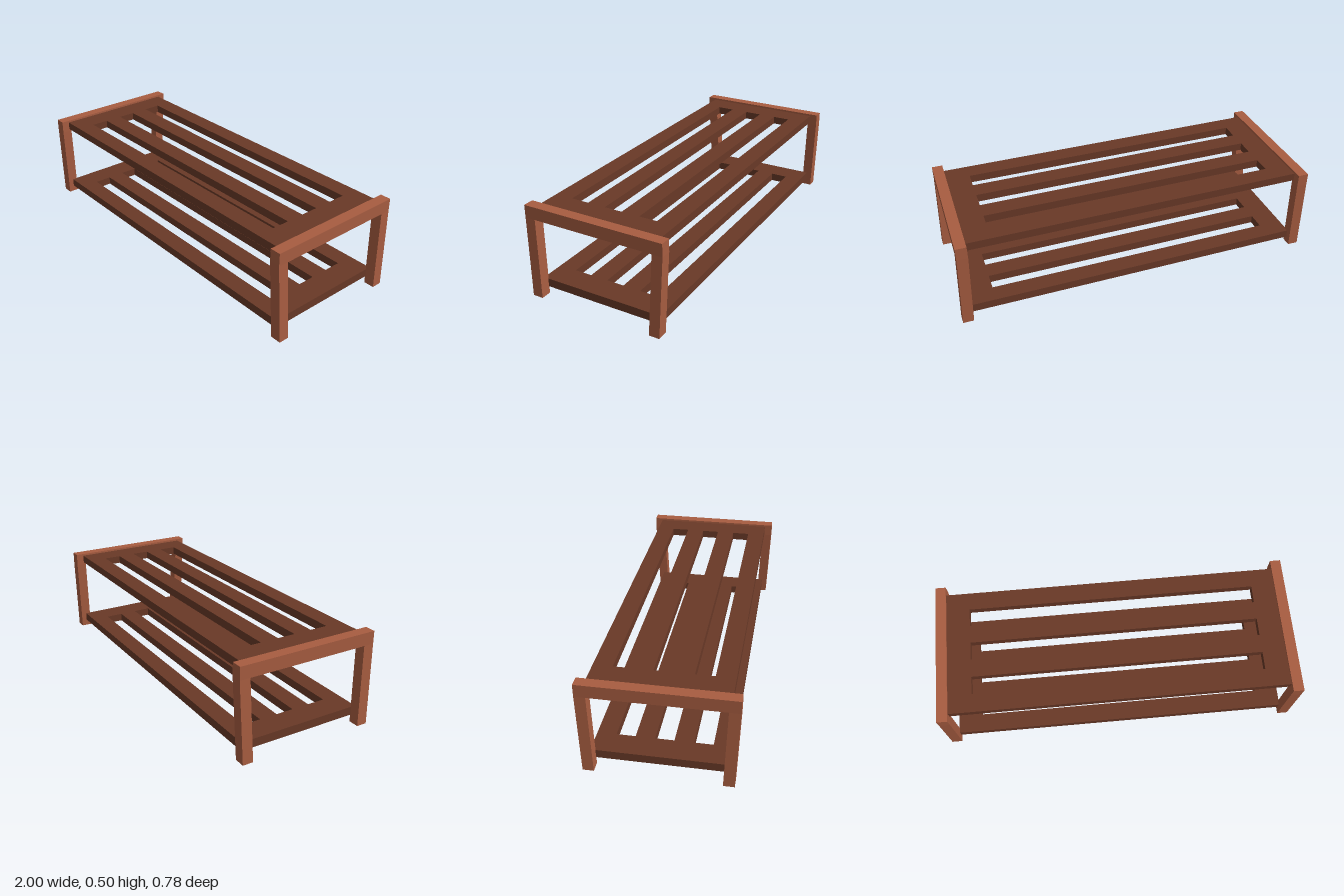
import * as THREE from 'three';

const lightWood = new THREE.MeshStandardMaterial({ color: 0xa85d41, flatShading: true });
const darkWood = new THREE.MeshStandardMaterial({ color: 0x693927, flatShading: true });

// Slatted shelf: a rectangular board with three long slots
function makeShelf(name, halfX, slotHalfX, y, thickness) {
  const halfZ = 0.346;
  const shape = new THREE.Shape([
    new THREE.Vector2(-halfX, -halfZ), new THREE.Vector2(halfX, -halfZ),
    new THREE.Vector2(halfX, halfZ), new THREE.Vector2(-halfX, halfZ),
  ]);
  for (const z of [-0.198, 0, 0.198]) {
    const a = z - 0.049, b = z + 0.049;
    shape.holes.push(new THREE.Path([
      new THREE.Vector2(-slotHalfX, a), new THREE.Vector2(-slotHalfX, b),
      new THREE.Vector2(slotHalfX, b), new THREE.Vector2(slotHalfX, a),
    ]));
  }
  const geo = new THREE.ExtrudeGeometry(shape, { depth: thickness, bevelEnabled: false });
  geo.rotateX(-Math.PI / 2);
  geo.translate(0, y, 0);
  const mesh = new THREE.Mesh(geo, darkWood);
  mesh.name = name;
  return mesh;
}

// Slanted leg: a box sheared so its foot moves out in x and in towards z = 0
function makeLeg(name, sx, sz) {
  const height = 0.433;
  const geo = new THREE.BoxGeometry(0.058, height, 0.057);
  geo.translate(0, height / 2, 0);
  const pos = geo.attributes.position;
  for (let i = 0; i < pos.count; i++) {
    const t = pos.getY(i) / height;
    pos.setX(i, pos.getX(i) + sx * (0.971 - 0.019 * t));
    pos.setZ(i, pos.getZ(i) + sz * (0.3465 + 0.015 * t));
  }
  geo.computeVertexNormals();
  const mesh = new THREE.Mesh(geo, lightWood);
  mesh.name = name;
  return mesh;
}

export function createModel() {
  const model = new THREE.Group();
  model.name = 'slattedRack';

  model.add(makeShelf('topShelf', 0.925, 0.794, 0.446, 0.044));
  model.add(makeShelf('bottomShelf', 0.942, 0.81, 0.037, 0.046));

  // End frames: two legs joined by a top rail
  for (const [side, sx] of [['left', 1], ['right', -1]]) {
    const frame = new THREE.Group();
    frame.name = side + 'Frame';
    const rail = new THREE.Mesh(new THREE.BoxGeometry(0.058, 0.068, 0.78), lightWood);
    rail.position.set(sx * 0.952, 0.467, 0);
    rail.name = side + 'TopRail';
    frame.add(rail, makeLeg(side + 'FrontLeg', sx, 1), makeLeg(side + 'BackLeg', sx, -1));
    model.add(frame);
  }
  return model;
}
